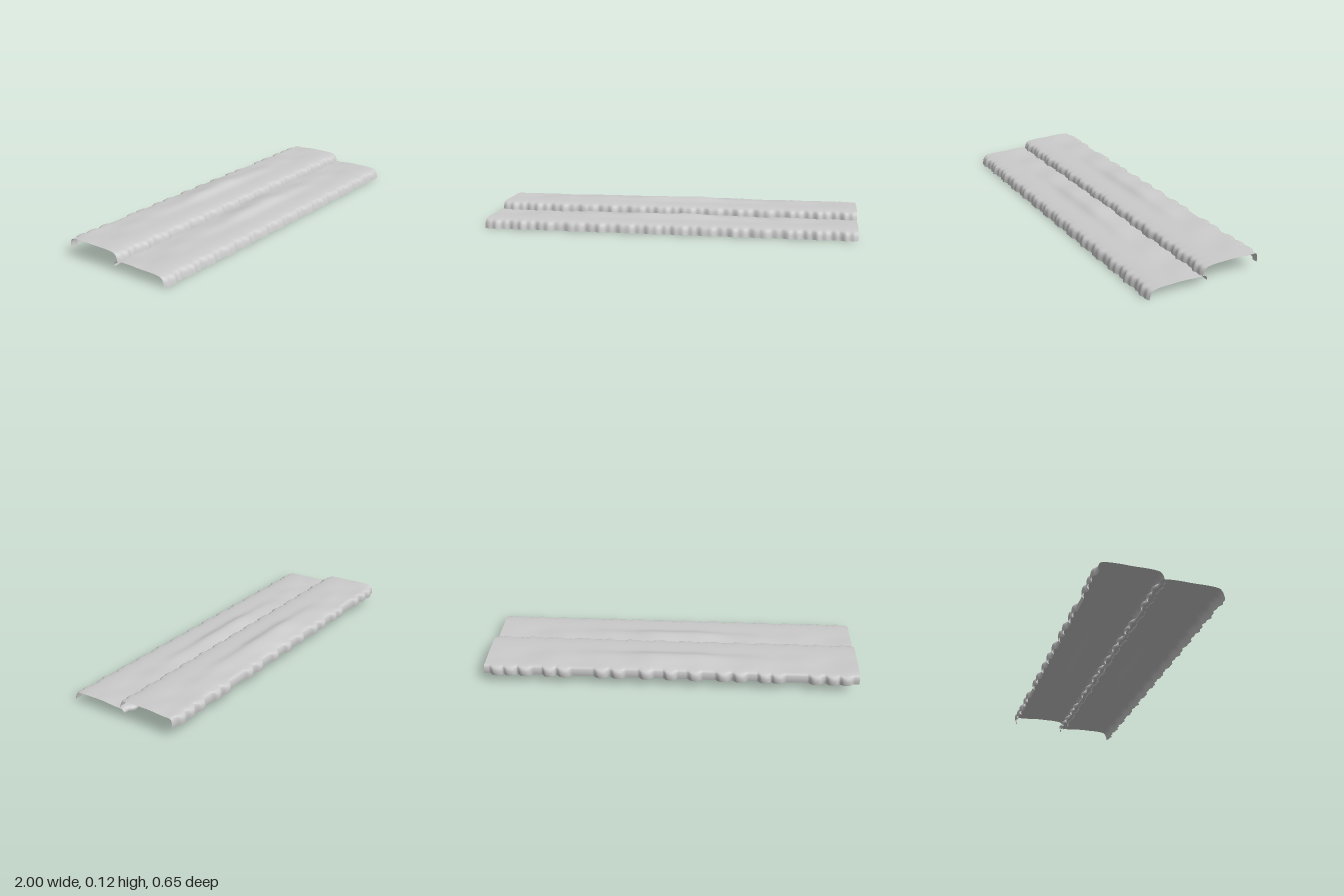
import * as THREE from 'three';

const SEGMENTS = 240;
const smooth = (a, b, v) => THREE.MathUtils.smoothstep(v, a, b);

// Ragged front edge: sharp outward teeth of uneven size, 0..1
function frontRagged(x) {
  const tri = (v) => Math.abs(((v % 1) + 1) % 1 - 0.5) * 2;
  const big = tri(x / 0.145 + 0.5);
  const small = tri(x / 0.052 + 0.3 * Math.sin(x * 7));
  return 0.6 * Math.pow(big, 1.3) + 0.4 * small;
}

// Rounded scallops along the back edge, 0..1
const scallops = [-0.93, -0.86, -0.77, -0.57, -0.5, -0.37, -0.28, -0.13, 0,
  0.13, 0.28, 0.37, 0.57, 0.65, 0.78, 0.86, 0.93];
function backScallop(x) {
  let v = 0;
  for (const c of scallops) v = Math.max(v, 1 - ((x - c) / 0.032) ** 2);
  return Math.sqrt(Math.max(0, v));
}

// Gentle swelling and dents on the upper face
function swell(x, z) {
  const middle = 1 - smooth(0.1, 0.62, Math.abs(x));
  const ridge = smooth(-0.03, 0.115, z) * (1 - smooth(0.115, 0.18, z));
  const zone = smooth(-0.01, 0.04, z) * (1 - smooth(0.1, 0.2, z));
  const ripple = 0.0025 * Math.sin(x * 11 + z * 14) + 0.002 * Math.sin(x * 23 - z * 9);
  return 0.018 * middle * ridge + zone * (ripple - 0.002);
}

// Cross-section from front hem to back hem: [z, y, front weight, back weight]
function crossSection(backDrop) {
  return [
    [0.305, 0, 1, 0], [0.302, 0.012, 1, 0], [0.299, 0.024, 1, 0], [0.293, 0.036, 1, 0],
    [0.287, 0.043, 0.9, 0], [0.279, 0.0475, 0.6, 0], [0.258, 0.051, 0.1, 0],
    [0.225, 0.053, 0, 0], [0.19, 0.053, 0, 0], [0.165, 0.0535, 0, 0], [0.148, 0.054, 0, 0],
    [0.132, 0.0545, 0, 0], [0.115, 0.055, 0, 0], [0.095, 0.055, 0, 0], [0.07, 0.054, 0, 0],
    [0.045, 0.053, 0, 0], [0.02, 0.052, 0, 0.05], [0.004, 0.05, 0, 0.4],
    [-0.004, 0.046, 0, 0.8], [-0.009, 0.04, 0, 1],
    [-0.012, 0.04 - backDrop * 0.35, 0, 1], [-0.012, 0.04 - backDrop * 0.7, 0, 1],
    [-0.01, 0.04 - backDrop, 0, 1],
  ];
}

// A sheet swept along x with both long edges turned down
function sheetGeometry(backDrop) {
  const section = crossSection(backDrop);
  const n = section.length;
  const positions = [], index = [];
  for (let i = 0; i <= SEGMENTS; i++) {
    const x = -1 + (2 * i) / SEGMENTS;
    const f = frontRagged(x) * 0.021;
    const b = backScallop(x) * 0.019;
    for (let j = 0; j < n; j++) {
      const [z, y, wf, wb] = section[j];
      positions.push(x, y + swell(x, z), z + f * wf - b * wb);
      if (i < SEGMENTS && j < n - 1) {
        const a = i * n + j, c = a + n;
        index.push(a, c, a + 1, c, c + 1, a + 1);
      }
    }
  }
  const geometry = new THREE.BufferGeometry();
  geometry.setAttribute('position', new THREE.Float32BufferAttribute(positions, 3));
  geometry.setIndex(index);
  geometry.computeVertexNormals();
  return geometry;
}

export function createModel() {
  const group = new THREE.Group();
  group.name = 'overlappingSheets';
  const material = new THREE.MeshStandardMaterial({ color: 0xcccccc, side: THREE.DoubleSide });

  // Lower sheet at the front
  const lower = new THREE.Mesh(sheetGeometry(0.017), material);
  lower.name = 'lowerSheet';
  group.add(lower);

  // Upper sheet behind, its front hem overlapping the lower one
  const upper = new THREE.Mesh(sheetGeometry(0.04), material);
  upper.name = 'upperSheet';
  upper.position.set(0, 0.044, -0.295);
  group.add(upper);

  return group;
}
